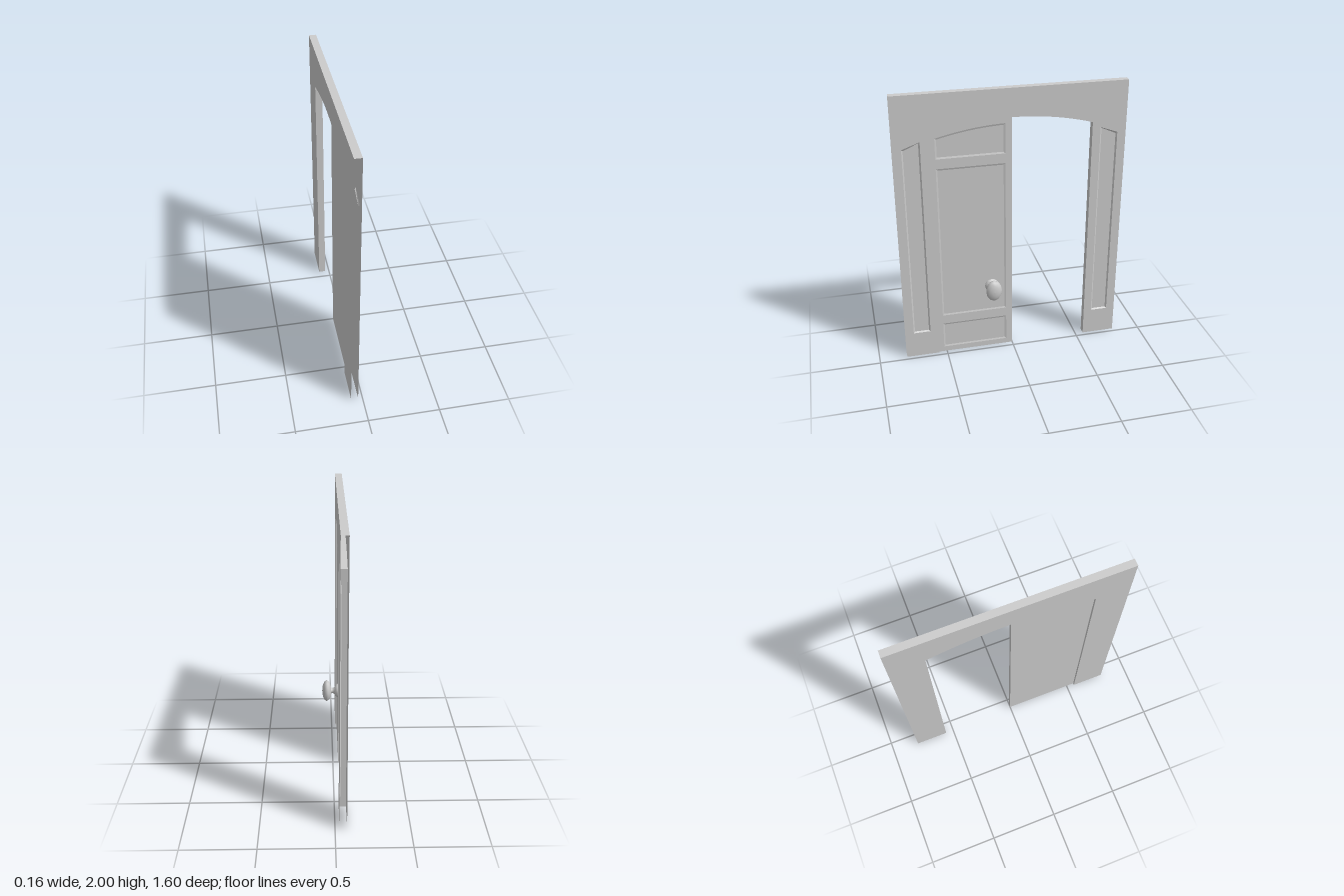
import * as THREE from 'three';

const material = new THREE.MeshStandardMaterial({ color: 0xcccccc, side: THREE.DoubleSide });
const FRONT = -0.03, BACK = -0.08;            // wall faces
const DOOR_FRONT = -0.04, DOOR_BACK = -0.065; // door faces, set back in the opening
const HALF = 0.56;                            // half width of the opening

const v = (u, y) => new THREE.Vector2(u, y);
const archY = (u) => 1.8 - 0.08 * (u / HALF) ** 2;

// Points along the arch from u0 to u1, lowered by drop
function arch(u0, u1, drop = 0, n = 16) {
  return Array.from({ length: n + 1 }, (_, i) => {
    const u = u0 + (u1 - u0) * i / n;
    return v(u, archY(u) - drop);
  });
}

function add(group, name, geometry) {
  const mesh = new THREE.Mesh(geometry, material);
  mesh.name = name;
  group.add(mesh);
  return mesh;
}

// Flat sheet at a given depth, optionally pierced and optionally facing back
function sheet(group, name, points, depth, holes = [], flip = false) {
  const shape = new THREE.Shape(points);
  holes.forEach((h) => shape.holes.push(new THREE.Path(h)));
  const geometry = new THREE.ShapeGeometry(shape);
  if (flip) {
    geometry.index.array.reverse();
    const n = geometry.attributes.normal;
    for (let i = 0; i < n.count; i++) n.setZ(i, -1);
  }
  geometry.translate(0, 0, depth);
  return add(group, name, geometry);
}

// Band joining outline a at depth da to outline b at depth db
function band(group, name, a, da, b, db, closed = false) {
  const pos = [];
  const count = closed ? a.length : a.length - 1;
  for (let i = 0; i < count; i++) {
    const j = (i + 1) % a.length;
    const p = [a[i].x, a[i].y, da], q = [a[j].x, a[j].y, da];
    const r = [b[j].x, b[j].y, db], s = [b[i].x, b[i].y, db];
    pos.push(...p, ...q, ...r, ...p, ...r, ...s);
  }
  const geometry = new THREE.BufferGeometry();
  geometry.setAttribute('position', new THREE.Float32BufferAttribute(pos, 3));
  geometry.computeVertexNormals();
  return add(group, name, geometry);
}

// Sunken panel: sloped rim and floor; outline(inset) runs counter-clockwise
function sunkenPanel(group, name, outline, depth, sink, bevel) {
  const outer = outline(0), inner = outline(bevel);
  band(group, name + 'Rim', outer, depth, inner, depth - sink, true);
  sheet(group, name + 'Floor', inner, depth - sink);
  return outer;
}

function buildFrame() {
  const frame = new THREE.Group();
  frame.name = 'frame';

  // Opening edge: up one jamb, over the arch, down the other
  const opening = [v(-HALF, 0), ...arch(-HALF, HALF, 0, 32), v(HALF, 0)];
  const outline = [v(0.8, 0), v(0.8, 2), v(-0.8, 2), v(-0.8, 0), ...opening];

  // Slant-topped side panels
  const holes = [-1, 1].map((s) => {
    const side = (inset) => {
      const pts = [v(0.617 + inset, 0.2 + inset), v(0.74 - inset, 0.2 + inset),
        v(0.74 - inset, 1.635 - inset), v(0.617 + inset, 1.68 - inset)];
      return s > 0 ? pts : pts.map((p) => v(-p.x, p.y)).reverse();
    };
    return sunkenPanel(frame, s < 0 ? 'leftSidePanel' : 'rightSidePanel', side, FRONT, 0.008, 0.01);
  });

  sheet(frame, 'frontWall', outline, FRONT, holes);
  sheet(frame, 'backWall', outline, BACK, [], true);
  band(frame, 'jambsAndArch', opening, FRONT, opening, BACK);
  const top = [v(0.8, 2), v(-0.8, 2)];
  band(frame, 'topEdge', top, BACK, top, FRONT);
  return frame;
}

function buildDoor() {
  const door = new THREE.Group();
  door.name = 'door';
  const outline = [v(-HALF, 0), v(0, 0), ...arch(0, -HALF)];

  // Three shallow panels, the uppermost following the arch
  const L = -0.52, R = -0.045;
  const rect = (y0, y1) => (i) => [v(L + i, y0 + i), v(R - i, y0 + i), v(R - i, y1 - i), v(L + i, y1 - i)];
  const arched = (i) => [v(L + i, 1.545 + i), v(R - i, 1.545 + i), ...arch(R - i, L + i, 0.04 + i)];
  const holes = [['lowerPanel', rect(0.04, 0.245)], ['middlePanel', rect(0.315, 1.475)], ['upperPanel', arched]]
    .map(([name, shape]) => sunkenPanel(door, name, shape, DOOR_FRONT, 0.004, 0.012));

  sheet(door, 'doorFront', outline, DOOR_FRONT, holes);
  sheet(door, 'doorBack', outline, DOOR_BACK, [], true);
  const edge = [v(0, 0), v(0, 1.8)];
  band(door, 'doorEdge', edge, DOOR_BACK, edge, DOOR_FRONT);
  return door;
}

function buildKnob() {
  const knob = new THREE.Group();
  knob.name = 'doorKnob';
  const turned = (name, profile) => add(knob, name,
    new THREE.LatheGeometry(profile.map(([r, d]) => v(r, d)), 12).rotateX(Math.PI / 2));

  // Round flared base with a neck, and an oval grip
  turned('knobBase', [[0.05, -0.04], [0.048, -0.03], [0.036, -0.02], [0.022, -0.01], [0.019, 0.003], [0.024, 0.016]]);
  const grip = turned('knobGrip', [[0, 0.012], [0.034, 0.012], [0.062, 0.02], [0.08, 0.034], [0.083, 0.045],
    [0.074, 0.058], [0.05, 0.07], [0.022, 0.075], [0, 0.076]]);
  grip.scale.x = 0.7;
  knob.position.set(-0.152, 0.527, 0);
  return knob;
}

export function createModel() {
  const model = new THREE.Group();
  model.name = 'doorway';
  model.add(buildFrame(), buildDoor(), buildKnob());
  // Parts are drawn facing +z, then turned to face +x
  model.rotation.y = Math.PI / 2;
  const root = new THREE.Group();
  root.name = 'archedDoorway';
  root.add(model);
  return root;
}
